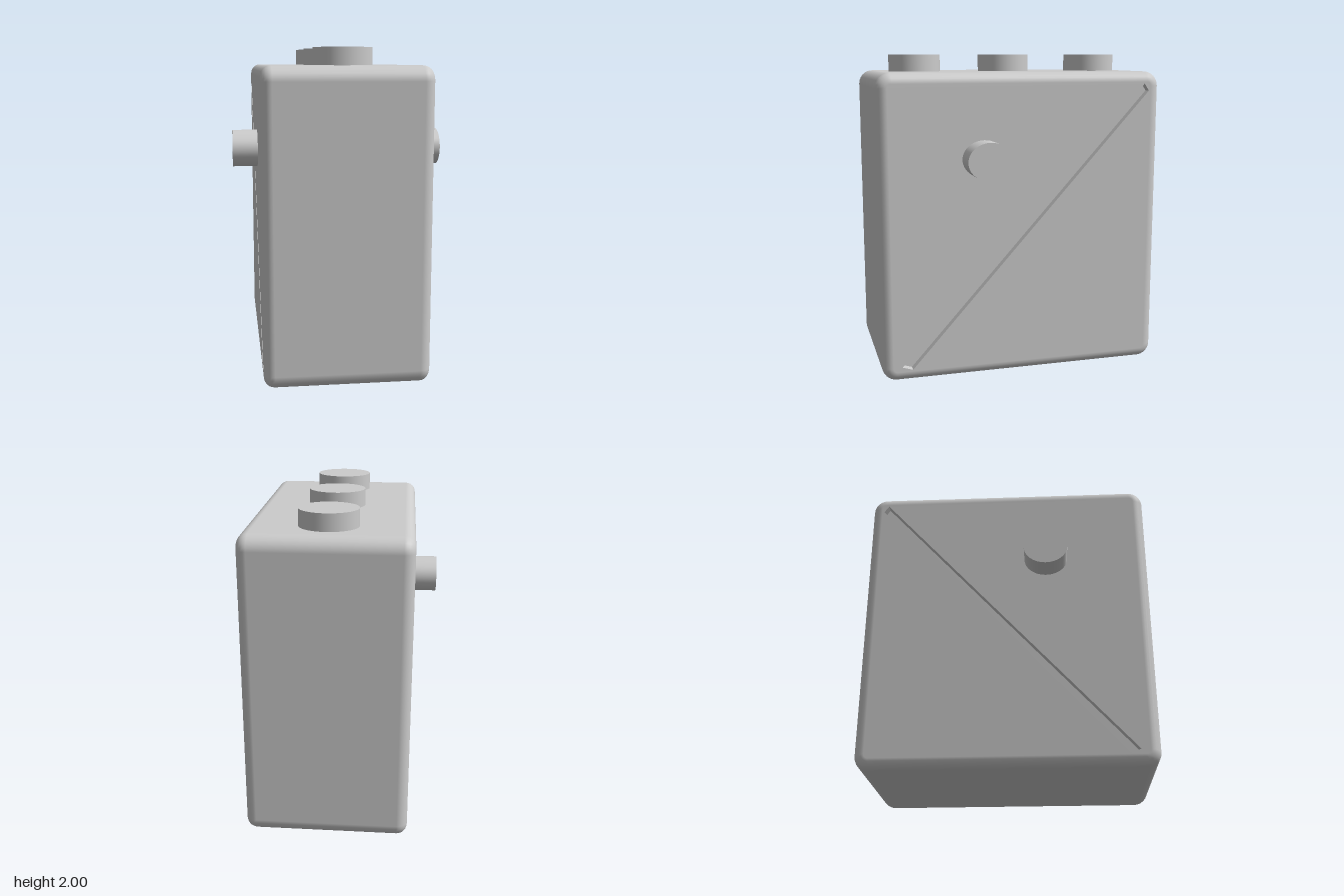
import * as THREE from 'three';

const R = 0.065, CAP = 0.025;              // edge rounding, corner rounding of the flat sides
const HX = 0.5, HZ = 0.9, TOP = 1.895, DEPTH = 0.05;

// Outline of the flat side in (z, y), with outward normals
function sideOutline(steps = 6) {
  const z = HZ - R - CAP, lo = R + CAP, hi = TOP - R - CAP;
  const pts = [];
  [[z, hi], [-z, hi], [-z, lo], [z, lo]].forEach(([cz, cy], k) => {
    for (let i = 0; i <= steps; i++) {
      const a = (k + i / steps) * Math.PI / 2, nz = Math.cos(a), ny = Math.sin(a);
      pts.push({ z: cz + CAP * nz, y: cy + CAP * ny, nz, ny });
    }
  });
  return pts;
}

// Rounded shell: the outline swept across the width, swelling by the edge radius
function shellGeometry(outline, steps = 6) {
  const pos = [], nor = [], idx = [], n = outline.length;
  const rings = [];
  for (const s of [-1, 1]) for (let i = 0; i <= steps; i++) {
    const a = (s < 0 ? i / steps - 1 : i / steps) * Math.PI / 2;
    rings.push({ x: s * (HX - R) + R * Math.sin(a), c: Math.cos(a), s: Math.sin(a) });
  }
  rings.forEach((r, j) => outline.forEach((p, i) => {
    pos.push(r.x, p.y + R * r.c * p.ny, p.z + R * r.c * p.nz);
    nor.push(r.s, r.c * p.ny, r.c * p.nz);
    if (j === 0) return;
    const k = (i + 1) % n, a = (j - 1) * n + i, b = (j - 1) * n + k, c = j * n + k, d = j * n + i;
    idx.push(a, c, b, a, d, c);
  }));
  const g = new THREE.BufferGeometry();
  g.setAttribute('position', new THREE.Float32BufferAttribute(pos, 3));
  g.setAttribute('normal', new THREE.Float32BufferAttribute(nor, 3));
  g.setIndex(idx);
  return g;
}

export function createModel() {
  const model = new THREE.Group();
  const mat = new THREE.MeshStandardMaterial({ color: 0xcccccc });
  const shellMat = new THREE.MeshStandardMaterial({ color: 0xcccccc, side: THREE.DoubleSide });
  const add = (name, geometry, parent = model, material = mat) => {
    const m = new THREE.Mesh(geometry, material);
    m.name = name;
    parent.add(m);
    return m;
  };

  // Rounded body
  const outline = sideOutline();
  add('bodyShell', shellGeometry(outline), model, shellMat);

  // Diagonal groove corners in (z, y)
  const groove = [[0.78, 0.095], [0.715, 0.075], [-0.822, 1.775], [-0.792, 1.82]];

  for (const s of [1, -1]) {
    const label = s > 0 ? 'left' : 'right';
    const toShape = (z, y) => new THREE.Vector2(-s * z, y);
    const side = new THREE.Group();
    side.name = label + 'Side';
    side.rotation.y = s * Math.PI / 2;
    side.position.x = s * (HX - DEPTH);
    model.add(side);

    // Flat side with the groove cut in, and the groove floor behind it
    const holePts = groove.map(([z, y]) => toShape(z, y));
    const panel = new THREE.Shape(outline.map(p => toShape(p.z, p.y)));
    panel.holes.push(new THREE.Path(holePts));
    add(label + 'Panel', new THREE.ExtrudeGeometry(panel, { depth: DEPTH, bevelEnabled: false }), side);
    add(label + 'GrooveFloor', new THREE.ShapeGeometry(new THREE.Shape(holePts)), side);

    // Side peg, slightly oval
    const peg = add(label + 'Peg', new THREE.CylinderGeometry(1, 1, 0.2, 48));
    peg.rotation.z = -s * Math.PI / 2;
    peg.scale.set(0.115, 1, 0.137);
    peg.position.set(s * 0.555, 1.375, 0.253);
  }

  // Row of three studs on top
  [0.59, 0, -0.6].forEach((z, i) => {
    const stud = add('topStud' + (i + 1), new THREE.CylinderGeometry(1, 1, 0.15, 48));
    stud.scale.set(0.178, 1, 0.164);
    stud.position.set(0, 1.925, z);
  });

  return model;
}
